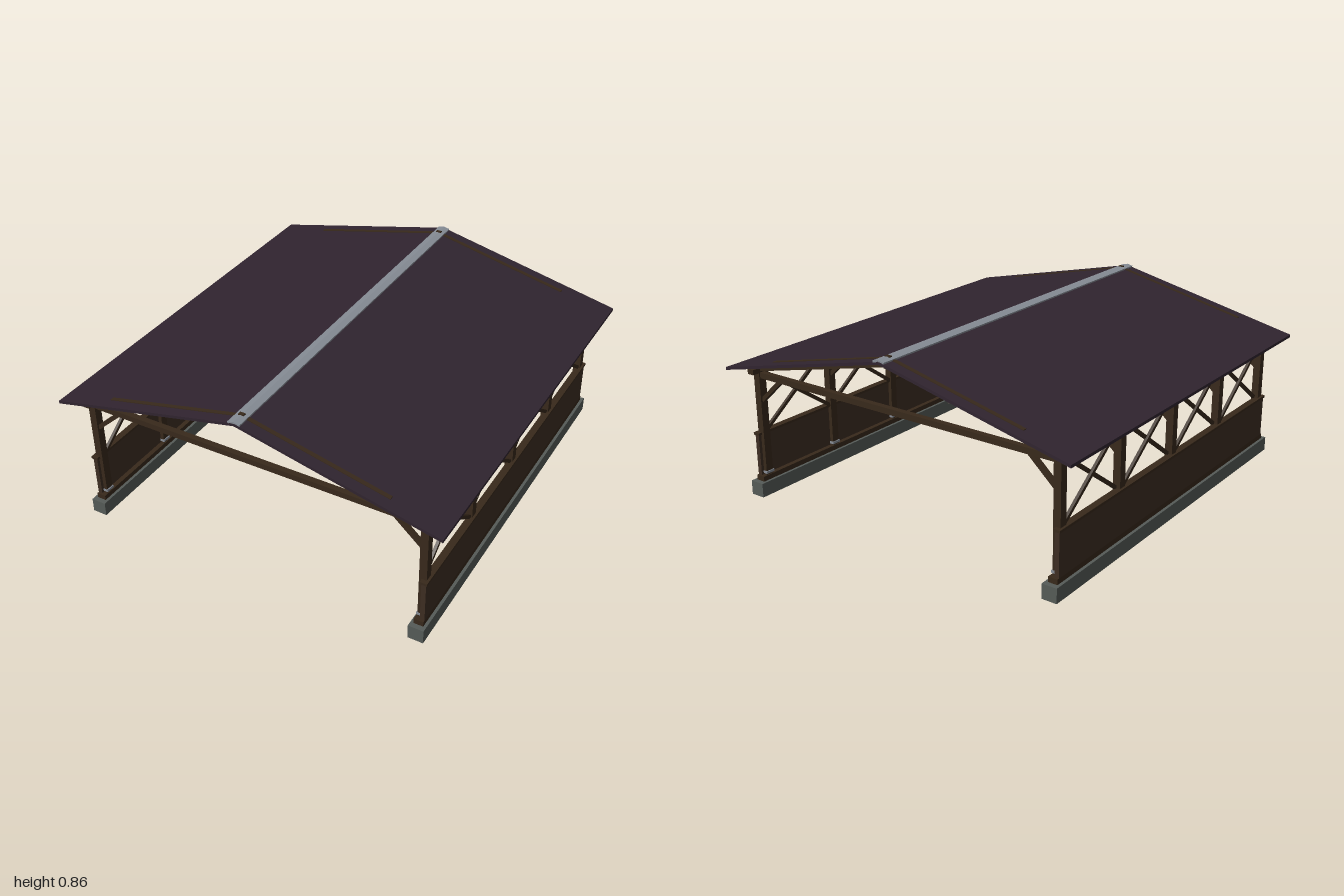
import * as THREE from 'three';

const mat = (name, color) => Object.assign(new THREE.MeshStandardMaterial({ color }), { name });

export function createModel() {
  const timber = mat('dark timber', 0x38291b);
  const boards = mat('wall boards', 0x3d2d22);
  const roofing = mat('plum roofing', 0x30242f);
  const stone = mat('grey stone', 0x555b57);
  const metal = mat('ridge metal', 0x868c95);
  const lampMetal = mat('lamp metal', 0x4a4640);

  const model = new THREE.Group();
  model.name = 'openShelter';
  const SLOPE = 0.227;
  const frames = [-0.9, -0.45, 0, 0.45, 0.9];

  const add = (name, geometry, material, x = 0, y = 0, z = 0) => {
    const m = new THREE.Mesh(geometry, material);
    m.name = name;
    m.position.set(x, y, z);
    model.add(m);
    return m;
  };
  const box = (name, w, h, d, x, y, z, material = timber) =>
    add(name, new THREE.BoxGeometry(w, h, d), material, x, y, z);

  // Square bar running between two points
  const bar = (name, a, b, w, d = w) => {
    const from = new THREE.Vector3(...a), to = new THREE.Vector3(...b);
    const m = box(name, w, d, from.distanceTo(to), 0, 0, 0);
    m.position.copy(from).add(to).multiplyScalar(0.5);
    m.lookAt(to);
    return m;
  };

  // Gable-shaped slab covering both roof pitches
  const gable = (name, reach, top, thick, depth, z, material = timber) => {
    const drop = reach * SLOPE;
    const s = new THREE.Shape([
      [-reach, top - drop - thick], [0, top - thick], [reach, top - drop - thick],
      [reach, top - drop], [0, top], [-reach, top - drop],
    ].map(([x, y]) => new THREE.Vector2(x, y)));
    const g = new THREE.ExtrudeGeometry(s, { depth, bevelEnabled: false });
    add(name, g, material, 0, 0, z - depth / 2);
  };

  // Roof covering and ridge cap
  gable('roof', 0.96, 0.855, 0.014, 2, 0, roofing);
  gable('ridgeCap', 0.03, 0.862, 0.009, 2, 0, metal);
  for (const z of [-0.935, 0.935]) {
    gable('vergeStrip', 0.7, 0.858, 0.006, 0.02, z);
    box('ridgePeg', 0.026, 0.006, 0.018, 0, 0.861, z);
  }

  // Rafters, over the frames and between them
  for (let i = -4; i <= 4; i++) {
    const main = i % 2 === 0;
    gable('rafter', 0.89, 0.833, 0.026, main ? 0.026 : 0.016, i * 0.225);
  }
  box('ridgeBeam', 0.022, 0.028, 1.91, 0, 0.824, 0);

  for (const side of [-1, 1]) {
    // Battens along each pitch
    for (const x of [0.16, 0.32, 0.48, 0.64, 0.8, 0.94]) {
      const b = box('batten', 0.02, 0.011, 1.91, side * x, 0.836 - x * SLOPE, 0);
      b.rotation.z = -side * Math.atan(SLOPE);
    }

    // Footing, sill, low wall and top plate
    box('footing', 0.074, 0.07, 1.94, side * 0.845, 0.035, 0, stone);
    box('sill', 0.046, 0.025, 1.89, side * 0.845, 0.0825, 0);
    box('lowWall', 0.022, 0.21, 1.87, side * 0.857, 0.2, 0, boards);
    box('wallCap', 0.034, 0.012, 1.88, side * 0.857, 0.305, 0);
    box('topPlate', 0.036, 0.025, 1.91, side * 0.845, 0.623, 0);

    for (const z of frames) {
      // Post with metal shoe and knee brace
      box('post', 0.036, 0.54, 0.04, side * 0.845, 0.343, z);
      box('postShoe', 0.04, 0.012, 0.046, side * 0.842, 0.108, z, metal);
      bar('kneeBrace', [side * 0.83, 0.475, z], [side * 0.7, 0.593, z], 0.022, 0.02);
    }

    // Crossed braces between the posts
    for (let i = 0; i < 4; i++) {
      const z0 = frames[i] + 0.018, z1 = frames[i + 1] - 0.018;
      bar('crossBrace', [side * 0.85, 0.312, z0], [side * 0.85, 0.608, z1], 0.014, 0.017);
      bar('crossBrace', [side * 0.839, 0.608, z0], [side * 0.839, 0.312, z1], 0.014, 0.017);
    }
  }

  // Tie beams across the frames
  for (const z of frames) box('tieBeam', 1.73, 0.028, 0.028, 0, 0.599, z);

  // Hanging lamps
  for (const z of [-0.54, 0.54]) {
    add('lampCord', new THREE.CylinderGeometry(0.002, 0.002, 0.26, 6), lampMetal, 0, 0.69, z);
    add('lampShade', new THREE.CylinderGeometry(0.007, 0.016, 0.014, 12), lampMetal, 0, 0.558, z);
    add('lampBody', new THREE.CylinderGeometry(0.011, 0.009, 0.024, 12), lampMetal, 0, 0.54, z);
  }

  return model;
}
